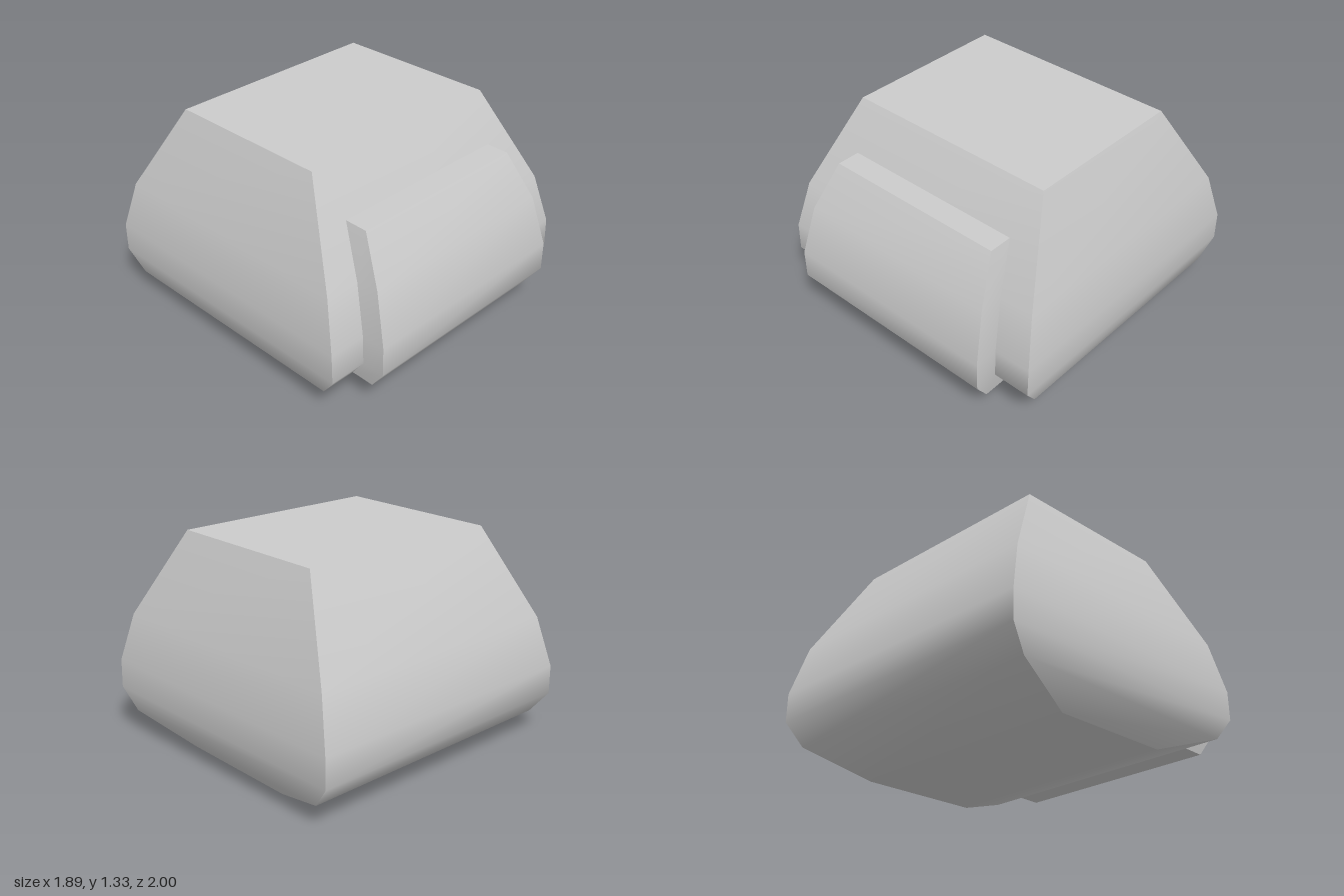
import * as THREE from 'three';
import { toCreasedNormals } from 'three/addons/utils/BufferGeometryUtils.js';

// Closed loft through four-cornered rings: [half width, front z, front y, back z, back y], bottom to top
function loft(rings) {
  const positions = rings.flatMap(([w, fz, fy, bz, by]) =>
    [w, fy, fz, w, by, bz, -w, by, bz, -w, fy, fz]);
  const index = [];
  const quad = (a, b, c, d) => index.push(a, b, c, a, c, d);
  const last = (rings.length - 1) * 4;
  for (let r = 0; r < last; r += 4) {
    for (let i = 0; i < 4; i++) {
      const j = (i + 1) % 4;
      quad(r + i, r + j, r + 4 + j, r + 4 + i);
    }
  }
  quad(3, 2, 1, 0);
  quad(last, last + 1, last + 2, last + 3);
  const geometry = new THREE.BufferGeometry();
  geometry.setAttribute('position', new THREE.Float32BufferAttribute(positions, 3));
  geometry.setIndex(index);
  return toCreasedNormals(geometry, THREE.MathUtils.degToRad(40));
}

export function createModel() {
  const group = new THREE.Group();
  const material = new THREE.MeshStandardMaterial({ color: 0xcccccc });
  const add = (name, geometry) => {
    const mesh = new THREE.Mesh(geometry, material);
    mesh.name = name;
    group.add(mesh);
  };

  // Main bag: narrow base, bulging middle and tapered flat top, leaning very slightly back
  add('body', loft([
    [0.78, 0.33, 0.015, -0.47, 0],
    [0.91, 0.75, 0.16, -0.89, 0.14],
    [0.945, 0.855, 0.30, -1, 0.28],
    [0.945, 0.85, 0.48, -1, 0.46],
    [0.89, 0.765, 0.785, -0.915, 0.77],
    [0.69, 0.45, 1.33, -0.61, 1.315],
  ]));

  // Front pocket: a constant-depth slab following the front of the body
  const depth = 0.15;
  const pocket = [
    [0.685, 0.90, 0.16],
    [0.71, 1, 0.30],
    [0.71, 1, 0.48],
    [0.67, 0.912, 0.79],
    [0.595, 0.752, 1.06],
  ];
  add('frontPocket', loft(pocket.map(([w, z, y]) => [w, z, y, z - depth, y])));

  return group;
}
